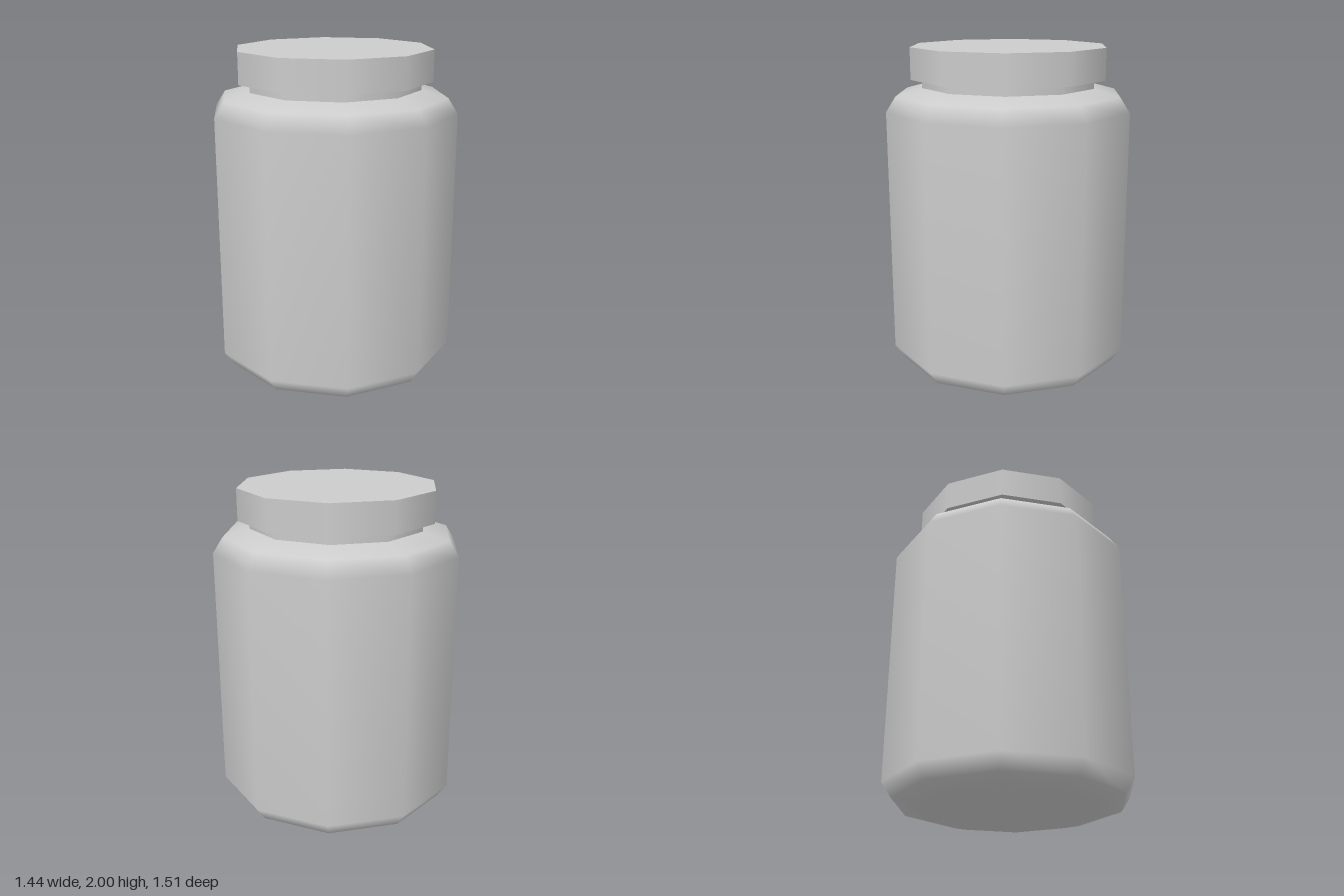
import * as THREE from 'three';

const SIDES = 10;

export function createModel() {
  const jar = new THREE.Group();
  jar.name = 'jar';
  const material = new THREE.MeshStandardMaterial({ color: 0xcccccc });

  const add = (name, geometry) => {
    const mesh = new THREE.Mesh(geometry, material);
    mesh.name = name;
    jar.add(mesh);
    return mesh;
  };

  // Body: smooth wall with rounded base and shoulder, as radius and height
  const profile = [
    [0.555, 0], [0.695, 0.037], [0.755, 0.125],
    [0.755, 1.625], [0.695, 1.717], [0.535, 1.76],
  ].map(([r, y]) => new THREE.Vector2(r, y));
  add('body', new THREE.LatheGeometry(profile, SIDES));

  // Flat base closing the body
  add('base', new THREE.CircleGeometry(0.555, SIDES, Math.PI / 2).rotateX(Math.PI / 2));

  // Neck between shoulder and lid
  add('neck', new THREE.CylinderGeometry(0.535, 0.535, 0.05, SIDES, 1, true)).position.y = 1.785;

  // Lid overhanging the neck
  add('lid', new THREE.CylinderGeometry(0.603, 0.603, 0.19, SIDES)).position.y = 1.905;

  return jar;
}
